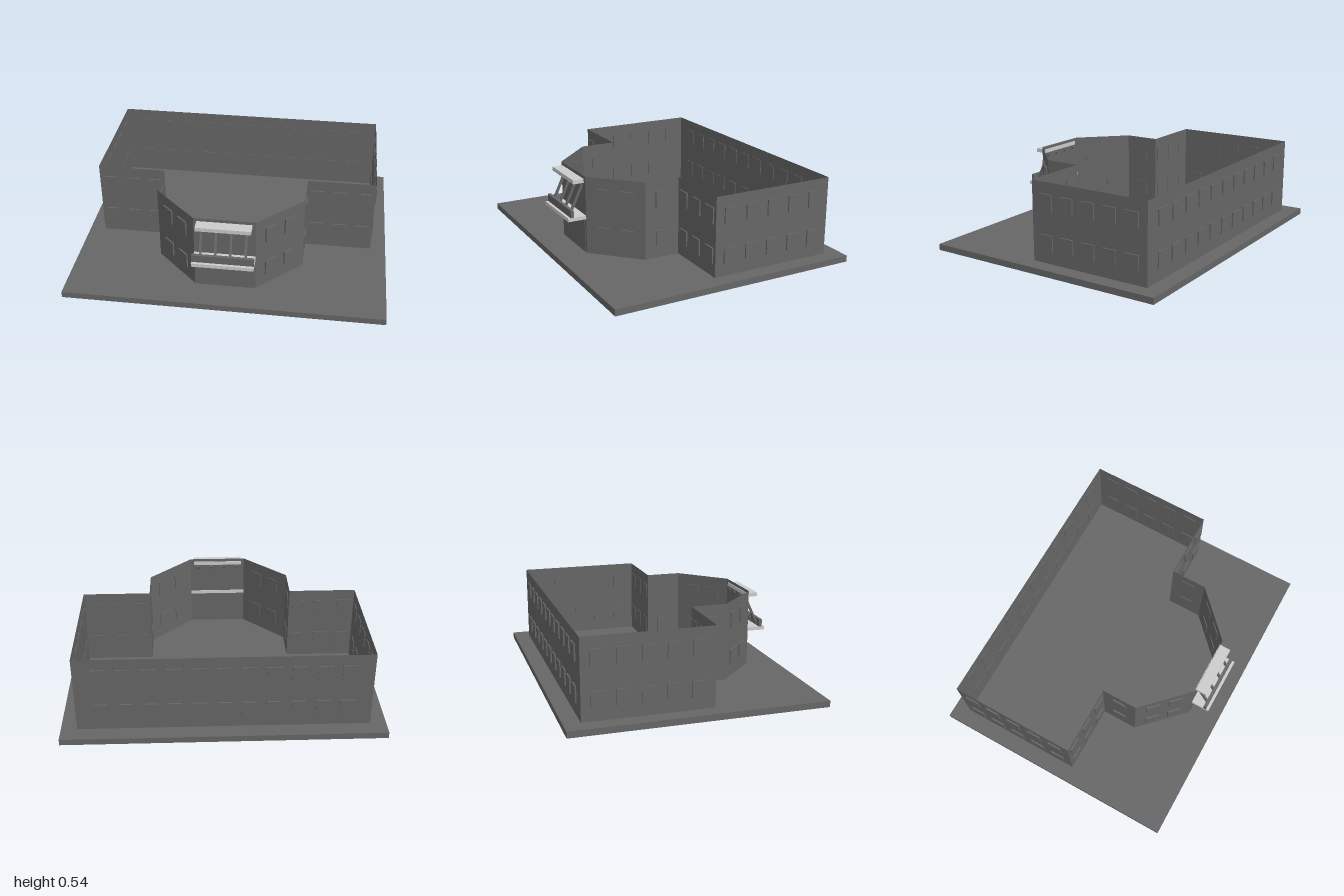
import * as THREE from 'three';

export function createModel() {
  const model = new THREE.Group();
  model.name = 'building';
  const grey = new THREE.MeshStandardMaterial({ color: 0x666666, side: THREE.DoubleSide });
  grey.name = 'wall grey';
  const pale = new THREE.MeshStandardMaterial({ color: 0xcccccc });
  pale.name = 'pale concrete';

  const add = (parent, name, geometry, material, x, y, z) => {
    const mesh = new THREE.Mesh(geometry, material);
    mesh.name = name;
    mesh.position.set(x, y, z);
    parent.add(mesh);
    return mesh;
  };
  // Box given by its minimum and maximum corners
  const box = (name, material, [x0, y0, z0], [x1, y1, z1]) =>
    add(model, name, new THREE.BoxGeometry(x1 - x0, y1 - y0, z1 - z0), material,
      (x0 + x1) / 2, (y0 + y1) / 2, (z0 + z1) / 2);

  // Ground slab
  box('groundSlab', grey, [-1, 0, -0.8], [1, 0.04, 0.8]);

  // Thin open-topped walls: start corner (x, z), number of window columns, name
  const base = 0.04, height = 0.5;
  const walls = [
    [-0.19, 0.605, 0, 'entranceWall'],
    [0.19, 0.605, 2, 'leftAngledWall'],
    [0.465, 0.335, 1, 'leftBayWall'],
    [0.465, 0.105, 3, 'leftFrontWall'],
    [0.9, 0.105, 5, 'leftWall'],
    [0.9, -0.697, 11, 'backWall'],
    [-0.9, -0.697, 5, 'rightWall'],
    [-0.9, 0.105, 3, 'rightFrontWall'],
    [-0.465, 0.105, 1, 'rightBayWall'],
    [-0.465, 0.335, 2, 'rightAngledWall'],
  ];
  const windowGeometry = new THREE.BoxGeometry(0.088, 0.1, 0.014);
  walls.forEach(([x, z, columns, name], i) => {
    const [nx, nz] = walls[(i + 1) % walls.length];
    const side = new THREE.Group();
    side.name = name;
    side.position.set((x + nx) / 2, 0, (z + nz) / 2);
    side.rotation.y = Math.atan2(z - nz, nx - x);
    model.add(side);
    const length = Math.hypot(nx - x, nz - z);
    add(side, 'wallPanel', new THREE.PlaneGeometry(length, height), grey, 0, base + height / 2, 0);
    // Two storeys of evenly spaced window panels
    for (let c = 0; c < columns; c++) {
      for (const y of [0.17, 0.418]) {
        add(side, 'window', windowGeometry, grey, (c - (columns - 1) / 2) * 0.15, y, 0.002);
      }
    }
  });

  // Entrance panel below the balcony
  box('entrancePanel', grey, [-0.17, 0.04, 0.605], [0.17, 0.265, 0.608]);

  // Balcony deck, parapet and upper canopy
  box('balconyDeck', pale, [-0.19, 0.265, 0.6], [0.19, 0.288, 0.725]);
  box('balconyParapet', grey, [-0.19, 0.288, 0.687], [0.19, 0.337, 0.707]);
  box('canopy', pale, [-0.17, 0.495, 0.6], [0.167, 0.52, 0.675]);

  // Sloping struts between canopy and deck
  const top = new THREE.Vector2(0.602, 0.485), bottom = new THREE.Vector2(0.694, 0.29);
  const strutGeometry = new THREE.BoxGeometry(0.014, top.distanceTo(bottom), 0.014);
  for (const x of [-0.14, -0.048, 0.044, 0.136]) {
    const strut = add(model, 'strut', strutGeometry, grey, x, (top.y + bottom.y) / 2, (top.x + bottom.x) / 2);
    strut.rotation.x = Math.atan2(top.x - bottom.x, top.y - bottom.y);
  }
  return model;
}
